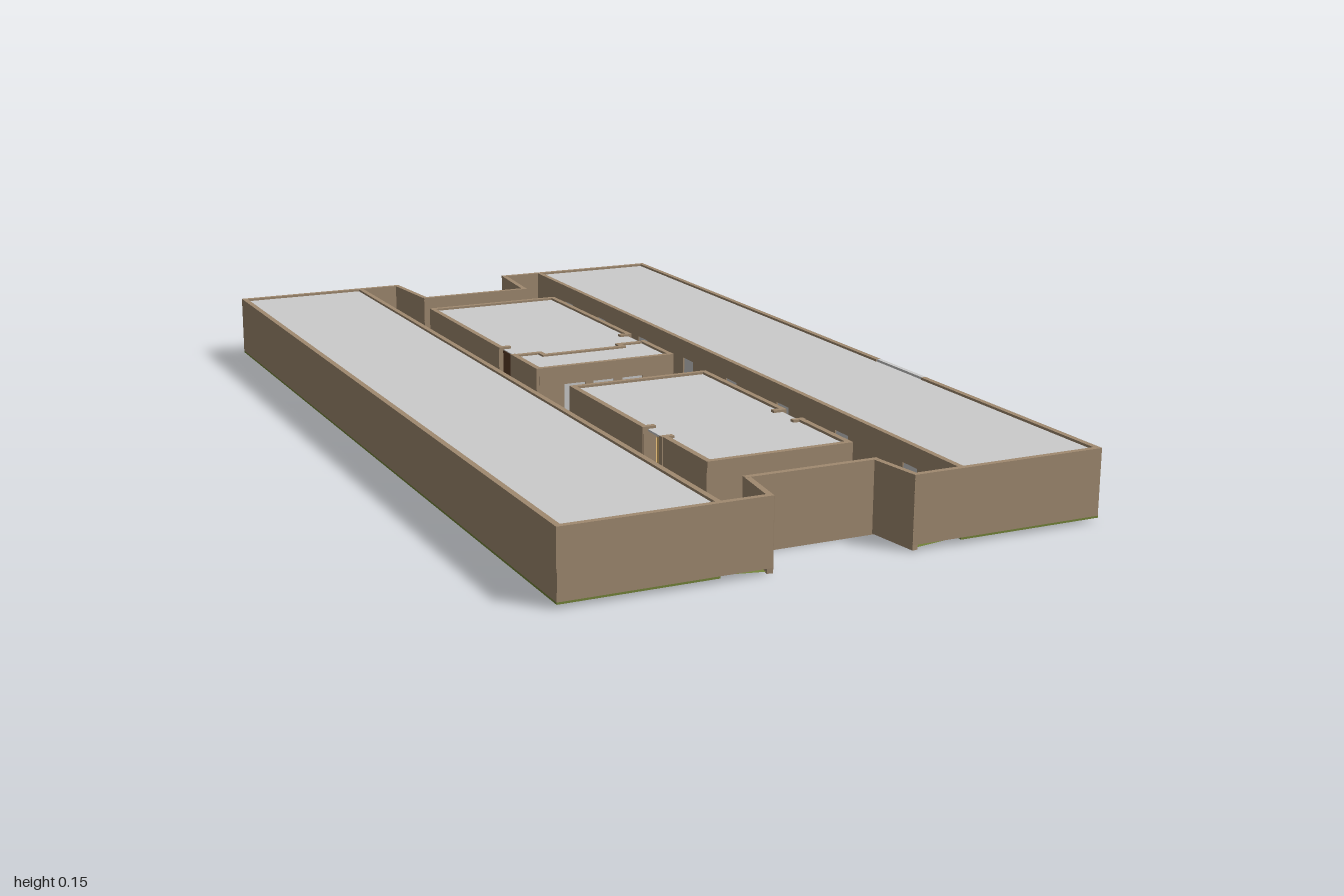
import * as THREE from 'three';

const TOP = 0.146, BASE = 0.012, ROOF = 0.141, T = 0.012;
const mat = (color) => new THREE.MeshStandardMaterial({ color, side: THREE.DoubleSide, flatShading: true });

export function createModel() {
  const model = new THREE.Group();
  const wallMat = mat(0xa08a70), grey = mat(0xcccccc), sand = mat(0xd2ac6c);
  const green = mat(0x74843a), dark = mat(0x2a211a), wood = mat(0x5a3c28);

  const add = (parent, name, geo, material) => {
    const m = new THREE.Mesh(geo, material);
    m.name = name;
    parent.add(m);
    return m;
  };
  const group = (name) => {
    const g = new THREE.Group();
    g.name = name;
    model.add(g);
    return g;
  };
  // Axis-aligned block given by its limits
  const block = (parent, name, x0, x1, y0, y1, z0, z1, material) => {
    const m = add(parent, name, new THREE.BoxGeometry(Math.abs(x1 - x0), y1 - y0, Math.abs(z1 - z0)), material);
    m.position.set((x0 + x1) / 2, (y0 + y1) / 2, (z0 + z1) / 2);
    return m;
  };
  // Upright wall between two plan points [x, z]
  const wall = (parent, name, a, b, y0 = BASE, y1 = TOP, t = T, material = wallMat) => {
    const dx = b[0] - a[0], dz = b[1] - a[1];
    const m = add(parent, name, new THREE.BoxGeometry(Math.hypot(dx, dz) + (t === T ? t * 0.9 : 0), y1 - y0, t), material);
    m.position.set((a[0] + b[0]) / 2, (y0 + y1) / 2, (a[1] + b[1]) / 2);
    m.rotation.y = -Math.atan2(dz, dx);
    return m;
  };
  const path = (parent, name, pts, y0, y1) => {
    for (let i = 1; i < pts.length; i++) wall(parent, name, pts[i - 1], pts[i], y0, y1);
  };
  // Straight wall with door openings at distances d, each with a lintel and a recessed door
  const doorWall = (parent, name, a, b, doors, width, material = grey, height = 0.105) => {
    const len = Math.hypot(b[0] - a[0], b[1] - a[1]);
    const at = (s) => [a[0] + (b[0] - a[0]) * s / len, a[1] + (b[1] - a[1]) * s / len];
    const t = T * 0.98;
    let s = 0;
    for (const d of doors) {
      wall(parent, name, at(s), at(d - width / 2), BASE, TOP, t);
      wall(parent, 'lintel', at(d - width / 2), at(d + width / 2), height, TOP, t);
      wall(parent, 'door', at(d - width / 2), at(d + width / 2), BASE, height, 0.006, material);
      s = d + width / 2;
    }
    wall(parent, name, at(s), at(len), BASE, TOP, t);
  };

  // Ground: lawn under the wings, sandy courtyard between them
  const ground = group('ground');
  for (const s of [-1, 1]) block(ground, 'wingGround', s * 0.25, s * 0.56, 0.008, BASE, -1, 1, green);
  block(ground, 'courtyard', -0.25, 0.25, 0.007, BASE, -0.8, 0.85, sand);

  // Sloping lawns at both ends, dipping toward the entrance notch
  const lawn = (zIn, zNotch, zEnd) => {
    const p = [
      -0.25, BASE, zIn, 0.25, BASE, zIn, 0.135, 0.002, zNotch, -0.135, 0.002, zNotch,
      0.25, BASE, zEnd, 0.15, 0.004, zEnd, -0.25, BASE, zEnd, -0.15, 0.004, zEnd,
    ];
    const g = new THREE.BufferGeometry();
    g.setAttribute('position', new THREE.Float32BufferAttribute(p, 3));
    const f = [0, 2, 1, 0, 3, 2, 1, 2, 5, 1, 5, 4, 0, 7, 3, 0, 6, 7];
    if (zEnd > 0) {
      for (let i = 0; i < f.length; i += 3) [f[i + 1], f[i + 2]] = [f[i + 2], f[i + 1]];
    }
    // Winding gives upward normals at either end
    g.setIndex(f);
    for (let i = 0; i < f.length; i += 3) {
      const [a, b, c] = f.slice(i, i + 3).map((k) => new THREE.Vector3().fromArray(p, k * 3));
      if (b.sub(a).cross(c.sub(a)).y < 0) [f[i + 1], f[i + 2]] = [f[i + 2], f[i + 1]];
    }
    g.setIndex(f);
    g.computeVertexNormals();
    add(ground, 'endLawn', g, green);
  };
  lawn(0.85, 0.88, 0.994);
  lawn(-0.8, -0.82, -0.994);

  // Outer perimeter with a tapered notch at each end
  const outer = group('perimeterWall');
  const X = 0.554, Z = 0.994;
  wall(outer, 'sideWall', [-X, -Z], [-X, Z]);
  wall(outer, 'sideWall', [X, -Z], [X, 0.215]);
  wall(outer, 'sideWall', [X, 0.405], [X, Z]);
  for (const [end, notch] of [[Z, 0.88], [-Z, -0.82]]) {
    for (const s of [-1, 1]) {
      wall(outer, 'endWall', [s * X, end], [s * 0.15, end]);
      wall(outer, 'notchSide', [s * 0.15, end], [s * 0.135, notch], 0.002, TOP - 0.0005);
    }
    wall(outer, 'notchBack', [-0.135, notch], [0.135, notch], 0, TOP);
  }

  // Two long wings, doors opening onto the courtyard
  const wingDoors = [
    [-1, [-0.79, -0.57, -0.35, -0.11, 0.13, 0.45, 0.81]],
    [1, [-0.78, -0.58, -0.34, -0.1, 0.11, 0.34, 0.58, 0.83]],
  ];
  for (const [s, doors] of wingDoors) {
    const wing = group(s > 0 ? 'leftWing' : 'rightWing');
    block(wing, 'wingRoof', s * 0.25, s * 0.55, ROOF - 0.004, ROOF, -0.99, 0.99, grey);
    doorWall(wing, 'innerWall', [s * 0.25, -Z], [s * 0.25, Z], doors.map((z) => z + Z), 0.05);
  }

  // Window panel set into the left side
  const panel = group('windowPanel');
  const face = new THREE.Shape([[0.22, 0.009], [0.405, 0.009], [0.405, TOP], [0.22, TOP]].map(([z, y]) => new THREE.Vector2(-z, y)));
  const windows = [[0.35, 0.385, 0.085], [0.288, 0.343, 0.085], [0.24, 0.278, 0.108]];
  for (const [z0, z1, y0] of windows) {
    face.holes.push(new THREE.Path([[z0, y0], [z0, 0.135], [z1, 0.135], [z1, y0]].map(([z, y]) => new THREE.Vector2(-z, y))));
    block(panel, 'windowBar', 0.552, 0.557, y0 + 0.024, y0 + 0.027, z0, z1, wallMat);
  }
  const front = add(panel, 'panelFace', new THREE.ExtrudeGeometry(face, { depth: 0.01, bevelEnabled: false }), grey);
  front.rotation.y = Math.PI / 2;
  front.position.x = 0.5505;
  block(panel, 'windowBacking', 0.535, 0.537, 0.08, 0.138, 0.23, 0.395, dark);
  block(panel, 'windowSill', 0.558, 0.562, 0.078, 0.081, 0.285, 0.388, sand);

  // Rear hall: side doorways and a stepped ridge across the roof
  const rear = group('rearHall');
  block(rear, 'hallRoof', -0.158, 0.155, ROOF - 0.004, ROOF, -0.685, -0.025, grey);
  path(rear, 'hallWall', [[-0.163, -0.24], [-0.163, -0.688], [0.158, -0.688], [0.158, -0.24]]);
  for (const s of [-1, 1]) {
    const x = s > 0 ? 0.158 : -0.163;
    wall(rear, 'hallSide', [x, -0.16], [x, -0.02]);
    wall(rear, 'sideDoor', [x - s * 0.006, -0.24], [x - s * 0.006, -0.16], BASE, ROOF - 0.002, 0.004, wood);
    wall(rear, 'doorReturn', [x, -0.24], [x - s * 0.018, -0.24]);
  }
  path(rear, 'steppedWall', [[-0.163, -0.16], [-0.1, -0.16], [-0.1, -0.136], [0.095, -0.136], [0.095, -0.16], [0.158, -0.16]], BASE, TOP - 0.001);
  doorWall(rear, 'hallFront', [-0.163, -0.02], [0.158, -0.02], [0.085, 0.155, 0.225], 0.05);

  // Front hall: paired side doorways
  const hall = group('frontHall');
  block(hall, 'hallRoof', -0.152, 0.15, ROOF - 0.004, ROOF, 0.158, 0.76, grey);
  doorWall(hall, 'hallBack', [-0.157, 0.155], [0.153, 0.155], [0.09, 0.16, 0.23], 0.05);
  path(hall, 'hallWall', [[-0.152, 0.58], [-0.152, 0.763], [0.149, 0.763], [0.149, 0.58]]);
  for (const s of [-1, 1]) {
    const x = s > 0 ? 0.153 : -0.157;
    wall(hall, 'hallSide', [x, 0.155], [x, 0.5]);
    for (const z of [0.5, 0.58]) wall(hall, 'doorReturn', [x - s * 0.002, z], [x - s * 0.018, z]);
    wall(hall, 'sideDoor', [x - s * 0.03, 0.5], [x - s * 0.03, 0.58], BASE, ROOF - 0.002, 0.004, sand);
  }
  return model;
}
